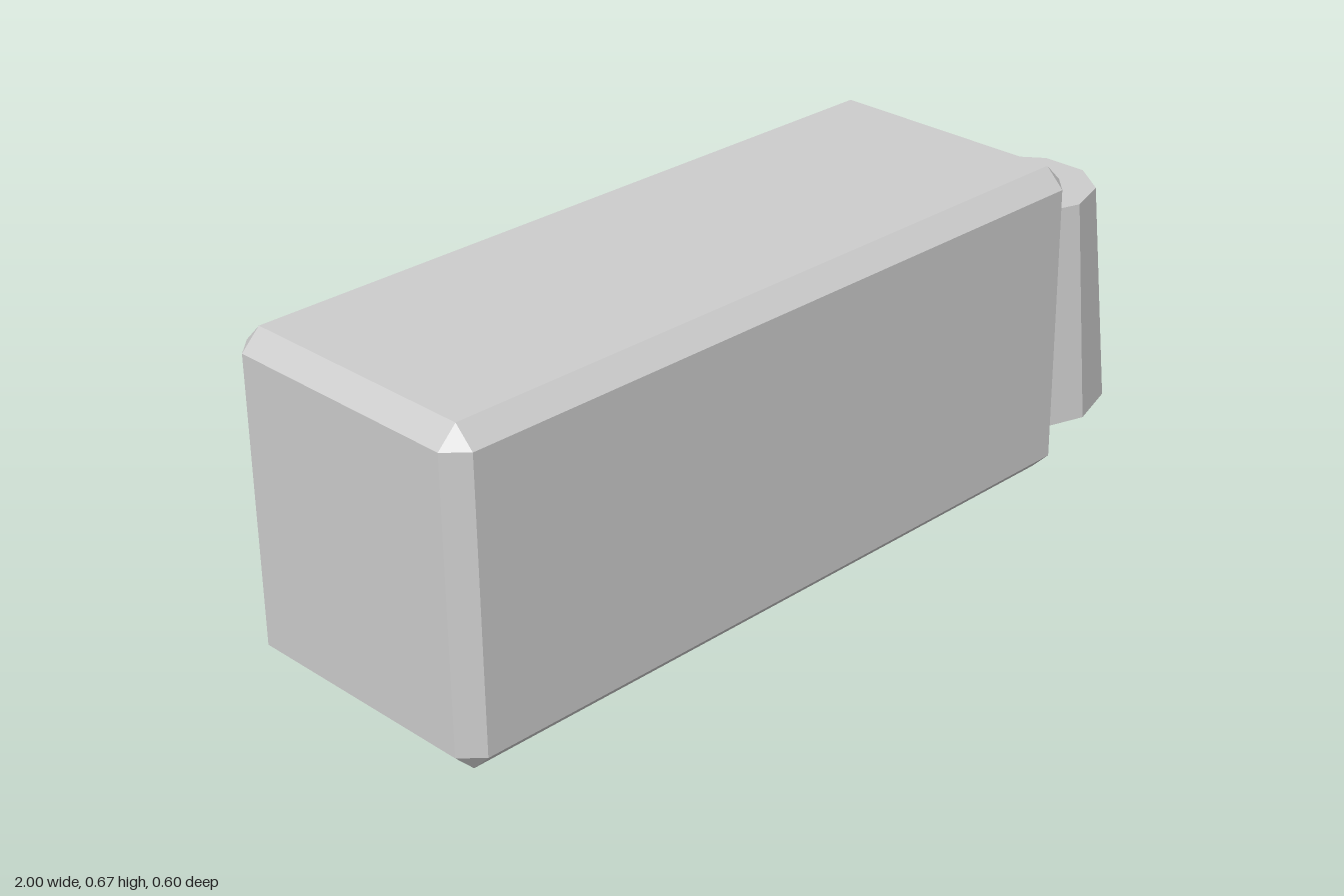
import * as THREE from 'three';
import { ConvexGeometry } from 'three/addons/geometries/ConvexGeometry.js';

// Box with every edge chamfered and a triangle cut at each corner
function chamferedBox(width, height, depth, bevel) {
  const half = [width / 2, height / 2, depth / 2];
  const points = [];
  for (const sx of [-1, 1]) for (const sy of [-1, 1]) for (const sz of [-1, 1]) {
    for (let axis = 0; axis < 3; axis++) {
      const [x, y, z] = half.map((h, i) => (i === axis ? h : h - bevel));
      points.push(new THREE.Vector3(sx * x, sy * y, sz * z));
    }
  }
  return new ConvexGeometry(points);
}

export function createModel() {
  const grey = new THREE.MeshStandardMaterial({ color: 0xcccccc, flatShading: true });
  grey.name = 'light grey';
  const model = new THREE.Group();
  model.name = 'blockAndTaperedPost';

  // Long block resting on the ground
  const block = new THREE.Mesh(chamferedBox(1.601, 0.67, 0.602, 0.04), grey);
  block.name = 'block';
  block.position.set(-0.1995, 0.335, 0);
  model.add(block);

  // Ten-sided tapered post beside its left end
  const height = 0.483;
  const post = new THREE.Mesh(new THREE.CylinderGeometry(0.16, 0.2, height, 10), grey);
  post.name = 'taperedPost';
  post.position.set(0.808, height / 2, 0);
  model.add(post);

  return model;
}
